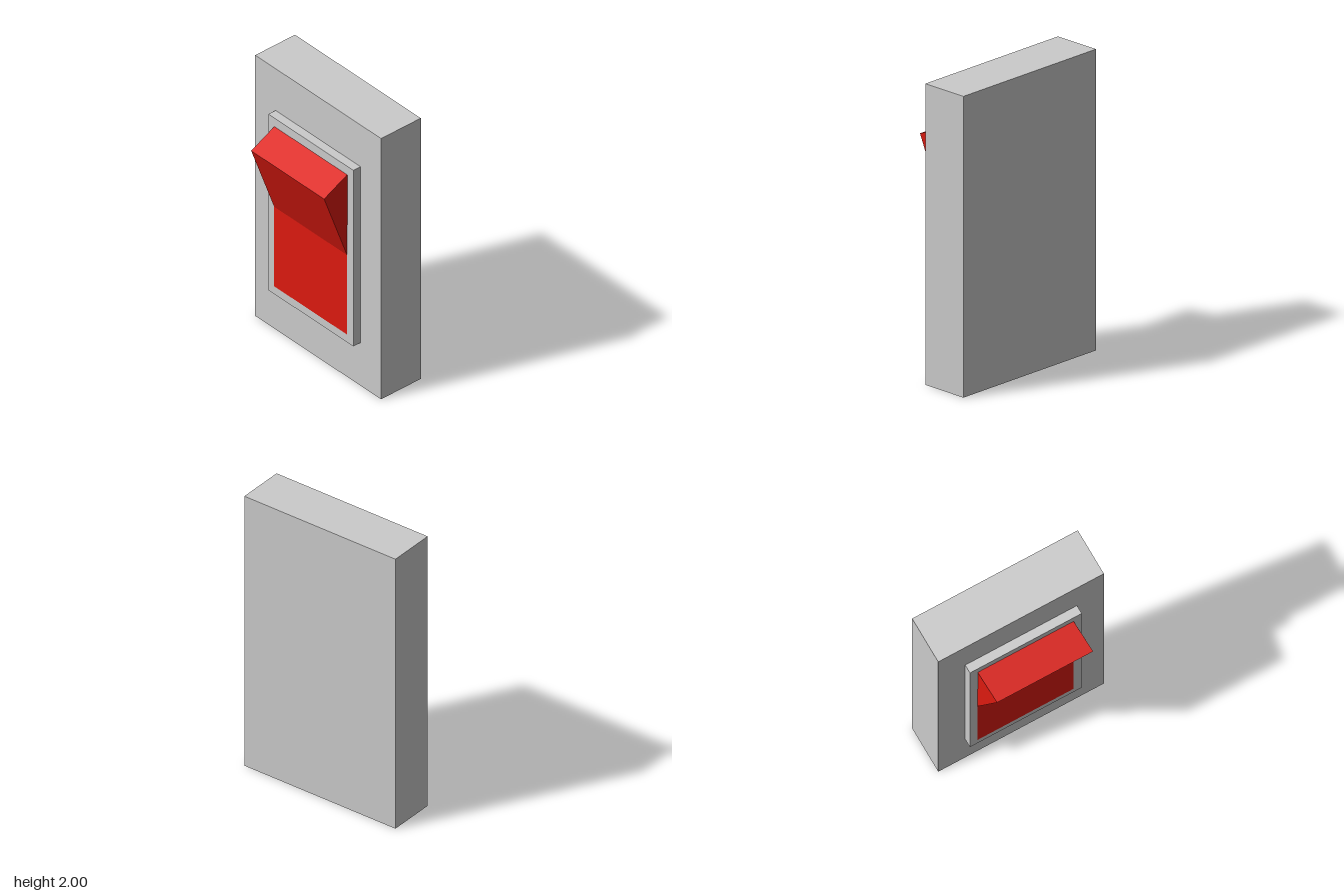
import * as THREE from 'three';

const grey = new THREE.MeshStandardMaterial({ color: 0xcccccc, flatShading: true });
const red = new THREE.MeshStandardMaterial({ color: 0xdd1a10, flatShading: true });

// Box spanning x0..x1 and y0..y1, centred on z = 0
function block(name, x0, x1, y0, y1, depth) {
  const mesh = new THREE.Mesh(new THREE.BoxGeometry(x1 - x0, y1 - y0, depth), grey);
  mesh.position.set((x0 + x1) / 2, (y0 + y1) / 2, 0);
  mesh.name = name;
  return mesh;
}

export function createModel() {
  const group = new THREE.Group();
  group.name = 'rockerSwitch';

  // Wall plate and the raised frame on its -x side
  group.add(block('wallPlate', -0.03, 0.3, 0, 2, 1.186));
  group.add(block('switchFrame', -0.09, -0.03, 0.33, 1.68, 0.8));

  // Rocker: flush lower half, tilted upper half
  const face = -0.091;
  const profile = new THREE.Shape([
    [-0.07, 0.39], [face, 0.39], [face, 1.0], [-0.3, 1.54], [face, 1.615], [-0.07, 1.615],
  ].map(([x, y]) => new THREE.Vector2(x, y)));
  const geometry = new THREE.ExtrudeGeometry(profile, { depth: 0.687, bevelEnabled: false });

  // The protruding edge leans slightly towards +z
  const pos = geometry.attributes.position;
  for (let i = 0; i < pos.count; i++) {
    const lean = Math.max(0, face - pos.getX(i)) * 0.1;
    pos.setZ(i, pos.getZ(i) - 0.345 + lean);
  }
  geometry.computeVertexNormals();
  const rocker = new THREE.Mesh(geometry, red);
  rocker.name = 'rocker';
  group.add(rocker);

  return group;
}
